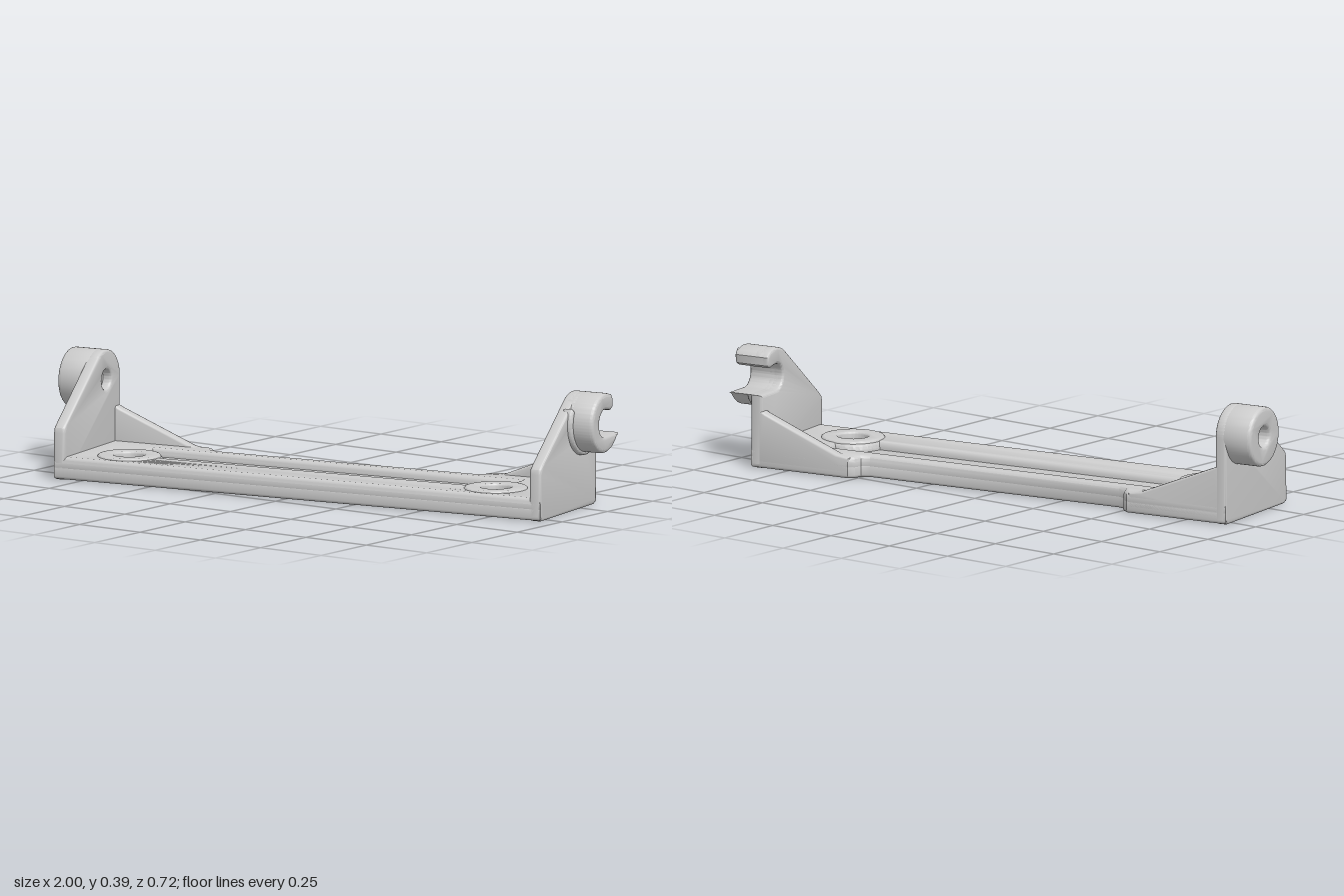
import * as THREE from 'three';
import { toCreasedNormals } from 'three/addons/utils/BufferGeometryUtils.js';

const EYE = [0.1, 0.305]; // pivot centre in the end-wall profile (backward, up)
const R = 0.1;
const rad = THREE.MathUtils.degToRad;

export function createModel() {
  const material = new THREE.MeshStandardMaterial({ color: 0xcccccc });
  const model = new THREE.Group();
  const bracket = new THREE.Group();
  bracket.name = 'bracket';
  bracket.rotation.y = 0.169;
  model.add(bracket);

  const add = (name, geometry) => {
    const mesh = new THREE.Mesh(toCreasedNormals(geometry, 0.6), material);
    mesh.name = name;
    bracket.add(mesh);
  };
  // Extrusion whose outer size stays exact, with softened edges
  const slab = (shape, depth, bevel, thick = bevel) =>
    new THREE.ExtrudeGeometry(shape, {
      depth: depth - 2 * thick, bevelSize: bevel, bevelOffset: -bevel,
      bevelThickness: thick, bevelSegments: 3, curveSegments: 28,
    }).translate(0, 0, thick);
  const flat = (shape, y0, y1, bevel, thick) =>
    slab(shape, y1 - y0, bevel, thick).rotateX(-Math.PI / 2).translate(0, y0, 0);
  const across = (shape, x0, x1, bevel) =>
    slab(shape, x1 - x0, bevel).rotateY(Math.PI / 2).translate(x0, 0, 0);
  const poly = (pts) => new THREE.Shape(pts.map((p) => new THREE.Vector2(...p)));
  const circle = (x, y, r) => new THREE.Path().absarc(x, y, r, 0, Math.PI * 2, true);

  // Base plate: a floor sheet and a rim sheet with the long recess
  const holes = [[-0.673, -0.078], [0.692, -0.078]];
  const outline = (holeRadius) => {
    const s = poly([
      [-0.888, -0.208], [0.923, -0.208], [0.923, 0.2], [0.555, 0.2], [0.535, 0.185],
      [0.525, 0.16], [0.5, 0.146], [-0.45, 0.146], [-0.48, 0.16], [-0.49, 0.185],
      [-0.51, 0.2], [-0.888, 0.2],
    ]);
    holes.forEach(([x, y]) => s.holes.push(circle(x, y, holeRadius)));
    return s;
  };
  add('baseFloor', flat(outline(0.05), 0.015, 0.062, 0.01));
  const rim = outline(0.075);
  const recess = new THREE.Path();
  recess.moveTo(-0.67, 0.09);
  recess.lineTo(0.69, 0.09);
  recess.absarc(0.692, -0.078, 0.115, rad(90), rad(170), false);
  recess.absarc(-0.673, -0.078, 0.115, rad(10), rad(90), false);
  recess.closePath();
  rim.holes.push(recess);
  add('baseRim', flat(rim, 0.035, 0.09, 0.016, 0.02));

  // Raised pads around the screw holes
  holes.forEach(([x, y]) => {
    const pad = new THREE.Shape().absarc(x, y, 0.106, 0, Math.PI * 2, false);
    pad.holes.push(circle(x, y, 0.05));
    add('screwPad', flat(pad, 0.03, 0.096, 0.008));
  });

  // Open slot of the hook, traced from its lower lip to the upper tip
  const slot = (s) => {
    s.lineTo(0.1, 0.26);
    s.absarc(...EYE, 0.045, rad(270), rad(90), true);
    s.lineTo(0.14, 0.343);
    s.lineTo(0.153, 0.352);
    s.lineTo(0.156, 0.38);
    s.lineTo(0.145, 0.394);
  };
  // End walls: sloped front edge, rounded head
  const wall = (hooked) => {
    const s = new THREE.Shape();
    s.moveTo(-0.195, 0.013);
    s.lineTo(0.185, 0.013);
    s.lineTo(0.2, 0.028);
    if (hooked) {
      s.lineTo(0.2, 0.26);
      slot(s);
    }
    s.absarc(...EYE, R, rad(hooked ? 63 : 0), rad(127), false);
    s.lineTo(-0.19, 0.2);
    s.lineTo(-0.204, 0.187);
    s.lineTo(-0.208, 0.17);
    s.lineTo(-0.208, 0.028);
    s.closePath();
    if (!hooked) s.holes.push(circle(...EYE, 0.034));
    return s;
  };
  add('rightWall', across(wall(false), -0.89, -0.848, 0.009));
  add('leftWall', across(wall(true), 0.882, 0.925, 0.009));

  // Round pivot boss outside the right wall, with a blind bore
  const boss = (r) => {
    const s = new THREE.Shape().absarc(...EYE, r, 0, Math.PI * 2, false);
    s.holes.push(circle(...EYE, 0.034));
    return s;
  };
  add('pivotBoss', across(boss(R), -0.982, -0.86, 0.012));
  add('pivotBoreEnd', new THREE.CylinderGeometry(0.04, 0.04, 0.03, 24)
    .rotateZ(Math.PI / 2).translate(-0.895, EYE[1], -EYE[0]));

  // Open hook outside the left wall, with a wider foot as its fillet
  const hook = (r) => {
    const s = new THREE.Shape();
    s.moveTo(0.198, 0.26);
    slot(s);
    s.absarc(...EYE, R, rad(63), rad(150), false);
    s.absarc(...EYE, r, rad(150), rad(325), false);
    s.closePath();
    return s;
  };
  add('pivotHook', across(hook(R), 0.89, 1.012, 0.012));
  add('pivotHookFoot', across(hook(0.112), 0.9, 0.94, 0.009));

  // Sloping back gussets in both rear corners
  [[-0.875, 1, 'rightGusset'], [0.91, -1, 'leftGusset']].forEach(([x, dir, name]) => {
    const pts = [[0, 0.03], [0.36, 0.03], [0.36, 0.085], [0.31, 0.092], [0.04, 0.2], [0, 0.22]]
      .map(([px, py]) => [x + dir * px, py]);
    add(name, slab(poly(dir > 0 ? pts : pts.reverse()), 0.04, 0.008).translate(0, 0, -0.2));
  });

  return model;
}
